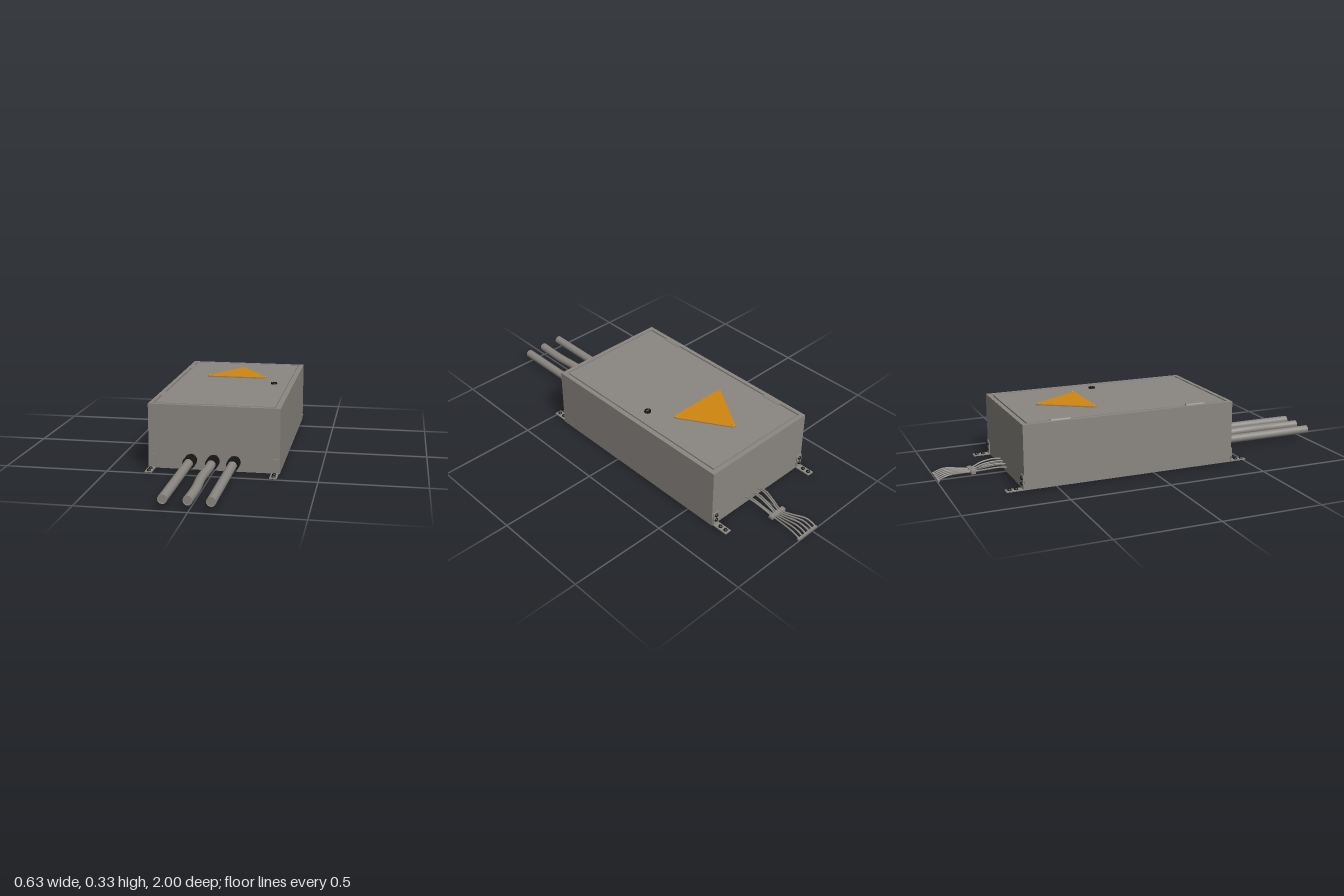
import * as THREE from 'three';

const mat = (name, color, side = THREE.FrontSide) => {
  const m = new THREE.MeshStandardMaterial({ color, side });
  m.name = name;
  return m;
};

export function createModel() {
  const root = new THREE.Group();
  root.name = 'electricalCabinet';
  const grey = mat('greyMetal', 0x8a8681);
  const sheet = grey;
  sheet.side = THREE.DoubleSide;
  const black = mat('blackPlastic', 0x151515);
  const orange = mat('signOrange', 0xd0860f);

  const add = (name, geo, m, x = 0, y = 0, z = 0, parent = root) => {
    const mesh = new THREE.Mesh(geo, m);
    mesh.name = name;
    mesh.position.set(x, y, z);
    parent.add(mesh);
    return mesh;
  };

  // Cabinet shell, open underneath
  const W = 0.63, L = 1.08, Y0 = 0.005, Y1 = 0.318, ZC = -0.12;
  const H = Y1 - Y0, yc = (Y0 + Y1) / 2;
  for (const s of [-1, 1]) {
    add('sideWall', new THREE.PlaneGeometry(L, H), sheet, s * W / 2, yc, ZC).rotation.y = s * Math.PI / 2;
    add('endWall', new THREE.PlaneGeometry(W, H), sheet, 0, yc, ZC + s * L / 2).rotation.y = s > 0 ? 0 : Math.PI;
  }

  // Lid: outer frame, recessed groove and door panel
  const rect = (w, l, Type = THREE.Shape) => {
    const p = new Type();
    p.moveTo(-w / 2, -l / 2);
    p.lineTo(w / 2, -l / 2);
    p.lineTo(w / 2, l / 2);
    p.lineTo(-w / 2, l / 2);
    p.closePath();
    return p;
  };
  // Extrudes a plan shape upwards; shape y becomes -z
  const slab = (shape, depth) =>
    new THREE.ExtrudeGeometry(shape, { depth, bevelEnabled: false, curveSegments: 8 }).rotateX(-Math.PI / 2);
  const frame = rect(W, L);
  frame.holes.push(rect(W - 0.04, L - 0.04, THREE.Path));
  add('lidFrame', slab(frame, 0.008), grey, 0, Y1 - 0.008, ZC);
  add('lidGroove', new THREE.BoxGeometry(W - 0.036, 0.002, L - 0.036), grey, 0, Y1 - 0.008, ZC);
  add('door', new THREE.BoxGeometry(W - 0.058, 0.007, L - 0.058), grey, 0, Y1 - 0.0035, ZC);

  // Hinges and lock
  for (const z of [-0.47, 0.225])
    add('hinge', new THREE.CylinderGeometry(0.01, 0.01, 0.1, 14).rotateX(Math.PI / 2), grey, -0.288, 0.315, z);
  add('lock', new THREE.CylinderGeometry(0.016, 0.017, 0.008, 24), black, 0.215, 0.321, -0.12);
  add('lockSlot', new THREE.BoxGeometry(0.016, 0.002, 0.004), grey, 0.215, 0.3245, -0.12);

  // Triangular warning plate with rounded corners and rivets
  const corners = [[-0.165, 0.237], [0.165, 0.237], [0, 0.502]].map(([x, y]) => new THREE.Vector2(x, y));
  const tri = new THREE.Shape();
  corners.forEach((c, i) => {
    const prev = corners[(i + 2) % 3], next = corners[(i + 1) % 3];
    const a = c.clone().add(prev.clone().sub(c).setLength(0.022));
    const b = c.clone().add(next.clone().sub(c).setLength(0.022));
    if (i === 0) tri.moveTo(a.x, a.y);
    else tri.lineTo(a.x, a.y);
    tri.quadraticCurveTo(c.x, c.y, b.x, b.y);
  });
  tri.closePath();
  add('signPlate', slab(tri, 0.005), grey, 0, Y1, 0);
  add('signFace', slab(tri, 0.0015), orange, 0, Y1 + 0.005, 0);
  for (const [x, z] of [[-0.15, -0.25], [0.15, -0.25], [0, -0.48]])
    add('signRivet', new THREE.SphereGeometry(0.006, 12, 6, 0, Math.PI * 2, 0, Math.PI / 2), orange, x, 0.3243, z);

  // L-shaped mounting brackets with bolts
  const dome = () => new THREE.SphereGeometry(0.01, 12, 6, 0, Math.PI * 2, 0, Math.PI / 2);
  for (const sx of [-1, 1]) for (const sz of [-1, 1]) {
    const g = new THREE.Group();
    g.name = 'mountingBracket';
    g.position.set(sx > 0 ? 0.293 : -0.298, 0, sz > 0 ? 0.42 : -0.66);
    root.add(g);
    add('bracketPlate', new THREE.BoxGeometry(0.035, 0.072, 0.005), grey, 0, 0.041, sz * 0.003, g);
    add('bracketFoot', new THREE.BoxGeometry(0.035, 0.005, 0.085), grey, 0, 0.0075, sz * 0.0425, g);
    for (const z of [0.035, 0.067]) {
      add('footBolt', dome(), black, 0, 0.01, sz * z, g);
      add('footBoltShank', new THREE.CylinderGeometry(0.006, 0.006, 0.008, 10), black, 0, 0.004, sz * z, g);
    }
    if (sz < 0) for (const y of [0.034, 0.062])
      add('plateBolt', dome(), black, 0, y, -0.005, g).rotation.x = -Math.PI / 2;
  }

  // Ribbed cable glands and thick cables
  const gland = new THREE.Shape();
  const ribs = 24;
  for (let i = 0; i < ribs * 2; i++) {
    const a = i * Math.PI / ribs, r = i % 2 ? 0.0275 : 0.03;
    gland[i ? 'lineTo' : 'moveTo'](r * Math.cos(a), r * Math.sin(a));
  }
  gland.closePath();
  gland.holes.push(new THREE.Path().absarc(0, 0, 0.0225, 0, Math.PI * 2, true));
  [-0.108, 0, 0.1].forEach((x, i) => {
    const y = 0.053, bend = i === 1 ? 0.003 : 0;
    add('cableGland', new THREE.ExtrudeGeometry(gland, { depth: 0.066, bevelEnabled: false }), black, x, y, 0.42);
    const path = new THREE.CatmullRomCurve3([0.42, 0.55, 0.7, 0.85, 1].map((z, k) =>
      new THREE.Vector3(x + (k === 2 ? -bend : k === 3 ? bend : 0), y + (k === 2 ? bend : 0), z)));
    add('cable', new THREE.TubeGeometry(path, 24, 0.0215, 20), grey);
    add('cableCore', new THREE.CircleGeometry(0.0215, 20), grey, x, y, 0.99);
  });

  // Thin wire bundle at the back, gathered by a clip and ended by a comb
  for (let i = 0; i < 6; i++) {
    const t = i / 5 - 0.5, alt = i % 2 ? 0.006 : -0.006;
    const pts = [
      [0.03 + t * 0.11, 0.034 + alt, -0.655],
      [0.032 + t * 0.105, 0.038 + alt, -0.7],
      [0.038 + t * 0.085, 0.03 + alt, -0.76],
      [0.042 + t * 0.06, 0.016, -0.82],
      [0.04 + t * 0.075, 0.02, -0.87],
      [0.033 + t * 0.11, 0.026, -0.94],
      [0.031 + t * 0.115, 0.018, -0.975],
      [0.031 + t * 0.115, 0.008, -0.997],
    ].map(p => new THREE.Vector3(...p));
    add('wire', new THREE.TubeGeometry(new THREE.CatmullRomCurve3(pts), 32, 0.0042, 8), grey);
  }
  add('wireClip', new THREE.BoxGeometry(0.095, 0.014, 0.022), grey, 0.04, 0.016, -0.82);
  add('wireComb', new THREE.BoxGeometry(0.13, 0.01, 0.01), grey, 0.031, 0.006, -0.995);
  return root;
}
